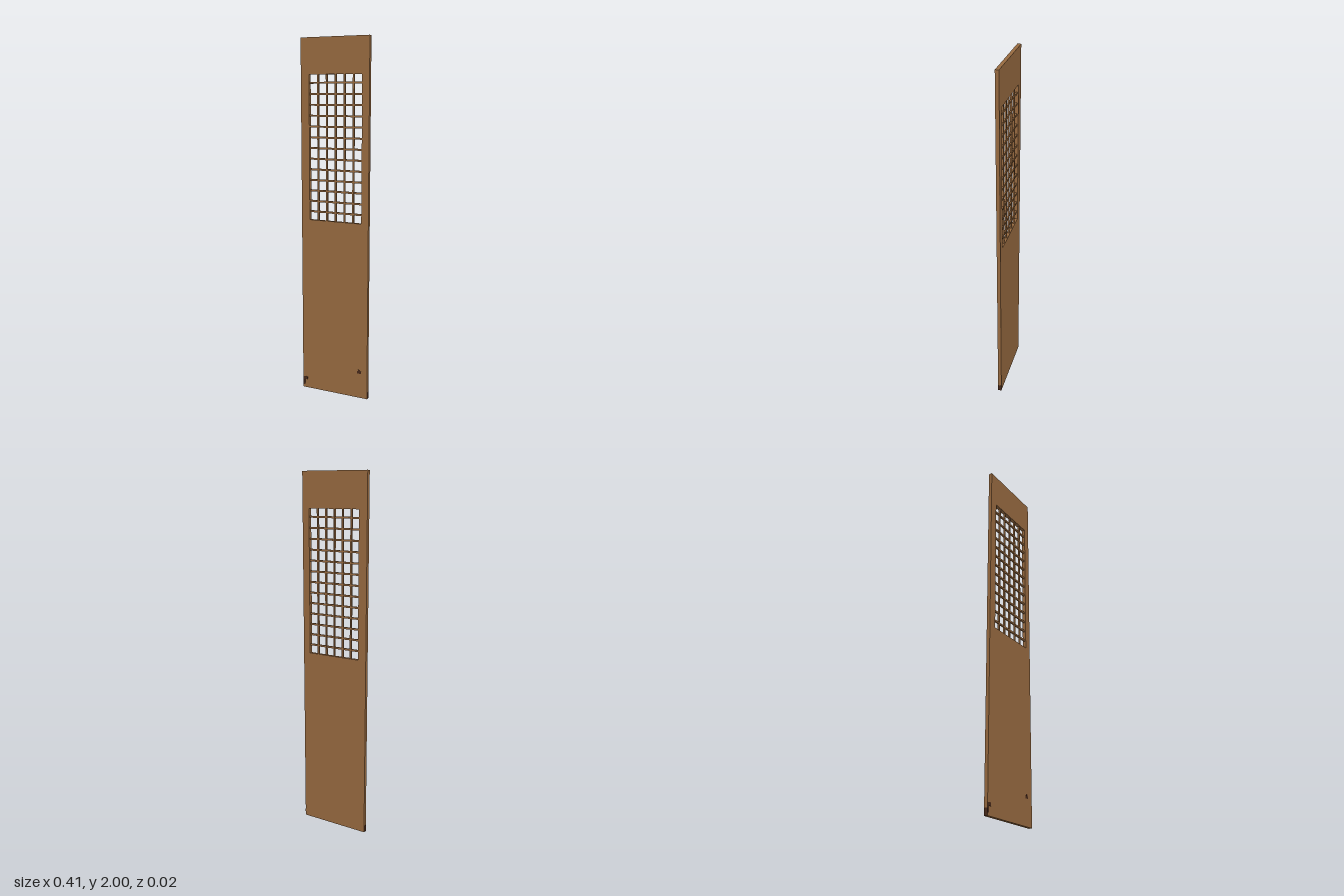
import * as THREE from 'three';

export function createModel() {
  const group = new THREE.Group();
  const wood = new THREE.MeshStandardMaterial({ color: 0x976a40 });
  wood.name = 'brown wood';
  const dark = new THREE.MeshStandardMaterial({ color: 0x47291a });
  dark.name = 'dark wood';

  const add = (name, geometry, material, x = 0, y = 0, z = 0) => {
    const mesh = new THREE.Mesh(geometry, material);
    mesh.name = name;
    mesh.position.set(x, y, z);
    group.add(mesh);
    return mesh;
  };
  const box = (name, w, h, d, x, y, z, material = wood) =>
    add(name, new THREE.BoxGeometry(w, h, d), material, x, y, z);

  const halfWidth = 0.204, depth = 0.02;
  const left = -0.154, right = 0.162, bottom = 1.005, top = 1.804;

  // Tall door panel with the lattice opening
  const rect = (target, x0, y0, x1, y1) => {
    target.moveTo(x0, y0);
    target.lineTo(x1, y0);
    target.lineTo(x1, y1);
    target.lineTo(x0, y1);
    target.closePath();
    return target;
  };
  const shape = rect(new THREE.Shape(), -halfWidth, 0, halfWidth, 2);
  shape.holes.push(rect(new THREE.Path(), left, bottom, right, top));
  add('doorPanel', new THREE.ExtrudeGeometry(shape, { depth, bevelEnabled: false }), wood, 0, 0, -depth / 2);

  // Lattice bars
  const midX = (left + right) / 2, midY = (bottom + top) / 2;
  for (let i = 0; i < 5; i++) {
    box('latticeUpright', 0.009, top - bottom, 0.01, -0.103 + i * 0.0532, midY, 0);
  }
  for (let i = 0; i < 13; i++) {
    box('latticeCrossbar', right - left, 0.01, 0.009, midX, 1.053 + i * 0.0589, 0);
  }

  // Dark worn ends at the foot of both side edges
  for (const side of [-1, 1]) {
    box('wornEdge', 0.001, 0.038, depth, side * halfWidth, 0.019, 0, dark);
  }

  // Small dark marks on the front face
  const marks = [
    [-0.198, 0.04, 0.012, 0.05],
    [-0.185, 0.057, 0.02, 0.018],
    [0.155, 0.151, 0.025, 0.014],
    [0.155, 0.16, 0.012, 0.014],
  ];
  for (const [x, y, w, h] of marks) box('woodMark', w, h, 0.001, x, y, depth / 2, dark);

  return group;
}
